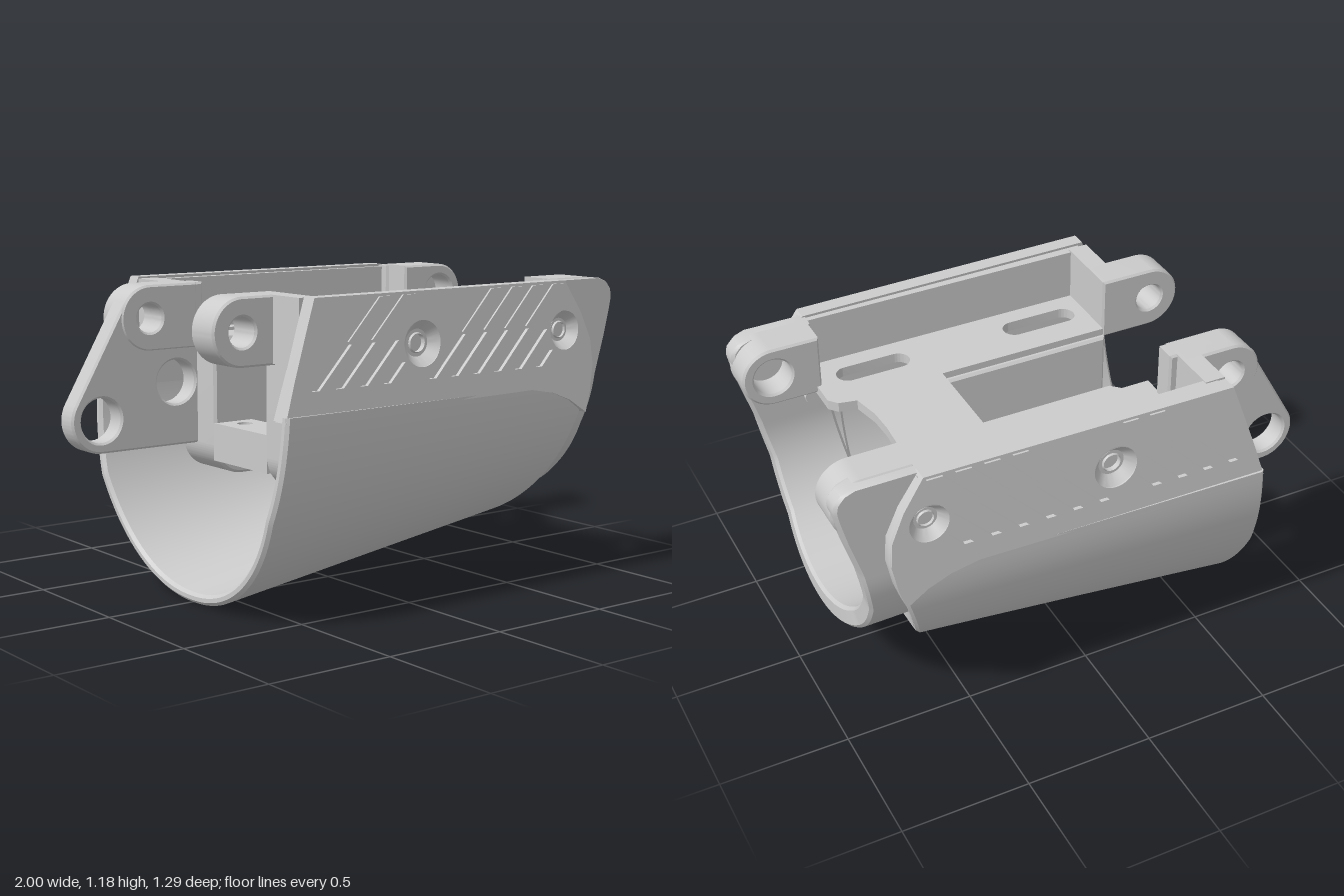
import * as THREE from 'three';
import { toCreasedNormals } from 'three/addons/utils/BufferGeometryUtils.js';

const grey = new THREE.MeshStandardMaterial({ color: 0xcccccc, side: THREE.DoubleSide });

function add(parent, name, geo) {
  const mesh = new THREE.Mesh(toCreasedNormals(geo, 0.5), grey);
  mesh.name = name;
  parent.add(mesh);
}

// Box given by its minimum and maximum corners
function box(parent, name, [x0, x1], [y0, y1], [z0, z1]) {
  const g = new THREE.BoxGeometry(x1 - x0, y1 - y0, z1 - z0);
  add(parent, name, g.translate((x0 + x1) / 2, (y0 + y1) / 2, (z0 + z1) / 2));
}

const polygon = (pts) => new THREE.Shape(pts.map(([x, y]) => new THREE.Vector2(x, y)));
const circle = (x, y, r) => new THREE.Path().absarc(x, y, r, 0, Math.PI * 2, true);

function extrude(shape, depth, bevel = 0) {
  return new THREE.ExtrudeGeometry(shape, {
    depth: depth - 2 * bevel, curveSegments: 20, bevelEnabled: bevel > 0,
    bevelThickness: bevel, bevelSize: bevel, bevelOffset: -bevel, bevelSegments: 1,
  }).translate(0, 0, bevel);
}

// Piecewise linear lookup through [key, value] pairs
function lookup(table) {
  return (k) => {
    for (let i = 1; i < table.length; i++) {
      const [a, va] = table[i - 1], [b, vb] = table[i];
      if (k <= b) return va + (vb - va) * Math.max(0, (k - a) / (b - a));
    }
    return table[table.length - 1][1];
  };
}

// U-shaped trough: half superellipse below yc, straight walls above it up to top.
// W and bottom are [value at left end, value at right end] of the outer face.
function trough({ W, bottom, thick, yc, top, xl, xr, power = 2 }) {
  const stations = [];
  const N = 72, M = top > yc ? 28 : 0;
  for (let i = M; i > 0; i--) stations.push([0, (top - yc) * i / M]);
  for (let i = 0; i <= N; i++) stations.push([Math.PI * i / N, 0]);
  for (let i = 1; i <= M; i++) stations.push([Math.PI, (top - yc) * i / M]);
  const pos = [], idx = [], c = 0.012, K = 8;
  for (const [a, up] of stations) {
    const sin = Math.abs(Math.sin(a)) ** (2 / power);
    const cos = Math.sign(Math.cos(a)) * Math.abs(Math.cos(a)) ** (2 / power);
    const at = (end, t, dx) => {
      const y = yc + up - (yc - bottom[end] - t) * sin;
      const yo = yc + up - (yc - bottom[end]) * sin;
      pos.push((end ? xr(yo) : xl(yo)) + dx, y, (W[end] - t) * cos);
    };
    at(0, 0, c); at(1, 0, -c); at(1, c, 0); at(1, thick - c, 0);
    at(1, thick, -c); at(0, thick, c); at(0, thick - c, 0); at(0, c, 0);
  }
  const S = stations.length;
  for (let s = 0; s < S - 1; s++) for (let k = 0; k < K; k++) {
    const a = s * K + k, b = s * K + (k + 1) % K;
    idx.push(a, a + K, b, b, a + K, b + K);
  }
  for (let k = 1; k < K - 1; k++) {
    idx.push(0, k, k + 1);
    idx.push((S - 1) * K, (S - 1) * K + k + 1, (S - 1) * K + k);
  }
  const g = new THREE.BufferGeometry();
  g.setAttribute('position', new THREE.Float32BufferAttribute(pos, 3));
  g.setIndex(idx);
  return g;
}

// Leaning outer face of the grip panels
const panelZ = (x, y) => 0.636 - 0.012 * (x + 0.68) - 0.07 * (y - 0.78);
function lean(geo, inset) {
  const p = geo.attributes.position;
  for (let i = 0; i < p.count; i++) p.setZ(i, panelZ(p.getX(i), p.getY(i)) - inset + p.getZ(i));
  return geo;
}

const screws = [[-0.04, 0.99, 0.085], [0.68, 0.99, 0.075]];
const panelOutline = [[-0.665, 0.76], [0.5, 0.775], [0.61, 0.755], [0.7, 0.72], [0.785, 0.665], [0.81, 0.74],
  [0.83, 0.85], [0.82, 0.95], [0.77, 1.06], [0.69, 1.18], [-0.52, 1.18], [-0.56, 1.07], [-0.62, 0.9]];

function gripPanel(side) {
  const base = polygon(panelOutline), skin = polygon(panelOutline);
  for (const [x, y, r] of screws) {
    base.holes.push(circle(x, y, r));
    skin.holes.push(circle(x, y, r));
  }
  for (let i = 0; i < 12; i++) {
    // Slanted grip slots, cut short where they would meet a screw
    const x = -0.55 + i * 0.107;
    const clear = (l) => screws.every(([sx, sy, r]) => Math.hypot(x + 0.02 + l - sx, 0.86 + l - sy) > r + 0.025);
    let len = 0;
    while (len < 0.14 && clear(len + 0.01)) len += 0.01;
    if (len >= 0.035) {
      skin.holes.push(polygon([[x, 0.86], [x + len, 0.86 + len], [x + 0.035 + len, 0.86 + len], [x + 0.035, 0.86]]));
    }
    // Low ridges running from the slots to the top edge
    const blocked = screws.some(([sx, sy, r]) => Math.abs(x + 0.235 - 1.09 - sx + sy) < r * 1.45 + 0.04 && Math.abs(x + 0.2 - sx) < 0.2);
    if (blocked || x > 0.34) continue;
    const ridge = polygon([[x + 0.165, 1.02], [x + 0.225, 1.02], [x + 0.375, 1.17], [x + 0.315, 1.17]]);
    add(side, 'gripRidge', lean(extrude(ridge, 0.014), 0.006));
  }
  add(side, 'gripPanelBase', lean(extrude(base, 0.045), 0.06));
  add(side, 'gripPanelSkin', lean(extrude(skin, 0.016), 0.016));
  // Stepped screw recesses
  for (const [x, y, r] of screws) {
    const pts = [[r, 0], [r * 0.6, -0.035], [r * 0.45, -0.035], [r * 0.4, -0.028], [r * 0.4, -0.055], [0, -0.055]];
    const g = new THREE.LatheGeometry(pts.map((p) => new THREE.Vector2(...p)), 32);
    add(side, 'screwRecess', g.rotateX(Math.PI / 2).translate(x, y, panelZ(x, y)));
  }
}

// Rounded lug around a hole, with a square side reaching to x = flat
function ear(cx, cy, r, hole, flat) {
  const s = new THREE.Shape(), d = flat > cx ? 1 : -1;
  s.moveTo(flat, cy + d * r);
  s.lineTo(cx, cy + d * r);
  s.absarc(cx, cy, r, d * Math.PI / 2, d * Math.PI / 2 + Math.PI, false);
  s.lineTo(flat, cy - d * r);
  s.holes.push(circle(cx, cy, hole));
  return s;
}

function slot(x0, x1, y, r) {
  const p = new THREE.Path();
  p.absarc(x0 + r, y, r, Math.PI / 2, Math.PI * 1.5, false);
  p.absarc(x1 - r, y, r, -Math.PI / 2, Math.PI / 2, false);
  return p;
}

export function createModel() {
  const model = new THREE.Group();
  model.name = 'handguard';

  // Outer shell, collar seat and inner liner
  const shellRight = lookup([[0.19, 0.62], [0.4, 0.7], [0.66, 0.78], [0.78, 0.81]]);
  add(model, 'outerShell', trough({
    W: [0.645, 0.612], bottom: [0, 0.19], thick: 0.04, yc: 0.78, top: 0.78, power: 2.15,
    xl: lookup([[0, -0.65], [0.4, -0.69], [0.78, -0.665]]), xr: shellRight,
  }));
  add(model, 'collarSeat', trough({
    W: [0.597, 0.597], bottom: [0.205, 0.205], thick: 0.075, yc: 0.78, top: 0.9, power: 2.12,
    xl: () => 0.56, xr: (y) => shellRight(y) - 0.002,
  }));
  add(model, 'innerLiner', trough({
    W: [0.55, 0.55], bottom: [0.275, 0.265], thick: 0.08, yc: 0.78, top: 1.175,
    xl: lookup([[0.27, 0.55], [0.8, 0.62], [0.93, 0.68]]),
    xr: lookup([[0.26, 0.9], [0.4, 0.877], [0.6, 0.882], [0.8, 0.92], [0.95, 0.965], [1.05, 0.99],
      [1.1, 1], [1.13, 0.995], [1.16, 0.97], [1.175, 0.93]]),
  }));

  // Mirrored sides: panels, cheeks and ears
  for (const m of [1, -1]) {
    const side = new THREE.Group();
    side.name = m > 0 ? 'frontSide' : 'backSide';
    side.scale.z = m;
    model.add(side);
    gripPanel(side);
    box(side, 'cheek', [-0.5, 0.77], [0.76, 1.03], [0.51, 0.565]);
    box(side, 'cheekTop', [-0.5, 0.7], [1.03, 1.17], [0.51, 0.565]);
    const end = polygon([[-0.655, 0.76], [-0.49, 0.76], [-0.49, 0.93], [-0.6, 0.93]]);
    add(side, 'cheekEnd', extrude(end, 0.05).translate(0, 0, 0.55));
    add(side, 'rightEar', extrude(ear(0.878, 1.06, 0.12, 0.075, 0.69), 0.15, 0.008).translate(0, 0, 0.362));
    add(side, 'leftEar', extrude(ear(-0.66, 1.05, 0.125, 0.055, -0.45), 0.14, 0.008).translate(0, 0, 0.235));
    box(side, 'leftEndWall', [-0.53, -0.45], [0.93, 1.175], [0.36, 0.53]);
    for (const [x] of screws) {
      const nut = new THREE.CylinderGeometry(0.055, 0.055, 0.08, 12).rotateX(Math.PI / 2);
      add(side, 'screwNut', nut.translate(x, 0.875, 0.48));
    }
  }

  // Top deck, open to the left, with four long slots (shape y is -z)
  const deck = polygon([[-0.45, -0.515], [0.71, -0.515], [0.71, -0.26], [0.68, -0.225], [0.61, -0.21], [0.585, -0.1],
    [0.58, 0], [0.585, 0.1], [0.61, 0.21], [0.68, 0.225], [0.71, 0.26], [0.71, 0.515], [-0.45, 0.515], [-0.45, 0.25],
    [-0.37, 0.22], [-0.28, 0.13], [0.25, 0.13], [0.25, -0.23], [-0.45, -0.23]]);
  for (const y of [-0.39, 0.39]) {
    deck.holes.push(slot(-0.4, -0.09, y, 0.047), slot(0.32, 0.62, y, 0.047));
  }
  add(model, 'topDeck', extrude(deck, 0.04).rotateX(-Math.PI / 2).translate(0, 0.928, 0));

  // Hanging walls with rounded lower corners
  for (const [z0, z1] of [[0.21, 0.36], [-0.35, -0.12]]) {
    const s = new THREE.Shape(), r = 0.125;
    s.moveTo(-0.45, 0.94);
    s.lineTo(-0.45, 0.44 + r);
    s.absarc(-0.45 + r, 0.44 + r, r, Math.PI, Math.PI * 1.5, false);
    s.absarc(0.28 - r, 0.44 + r, r, -Math.PI / 2, 0, false);
    s.lineTo(0.28, 0.94);
    add(model, 'hangingWall', extrude(s, z1 - z0, 0.01).translate(0, 0, z0));
  }

  // Cross bridge with two bolt holes
  const bridge = polygon([[-0.45, -0.22], [-0.28, -0.22], [-0.28, 0.13], [-0.45, 0.13]]);
  bridge.holes.push(circle(-0.36, 0.05, 0.03), circle(-0.36, -0.15, 0.03));
  add(model, 'crossBridge', extrude(bridge, 0.145).rotateX(-Math.PI / 2).translate(0, 0.5, 0));

  // Long pivot lug on the back side
  const lug = new THREE.Shape();
  lug.moveTo(-0.42, 1.175);
  lug.lineTo(-0.66, 1.175);
  lug.absarc(-0.66, 1.05, 0.125, Math.PI / 2, Math.PI * 0.835, false);
  lug.absarc(-0.875, 0.68, 0.125, Math.PI * 0.835, Math.PI * 1.5, false);
  lug.lineTo(-0.42, 0.555);
  lug.holes.push(circle(-0.66, 1.05, 0.055), circle(-0.875, 0.68, 0.085), circle(-0.545, 0.8, 0.085));
  add(model, 'pivotLug', extrude(lug, 0.09, 0.008).translate(0, 0, -0.33));

  return model;
}
